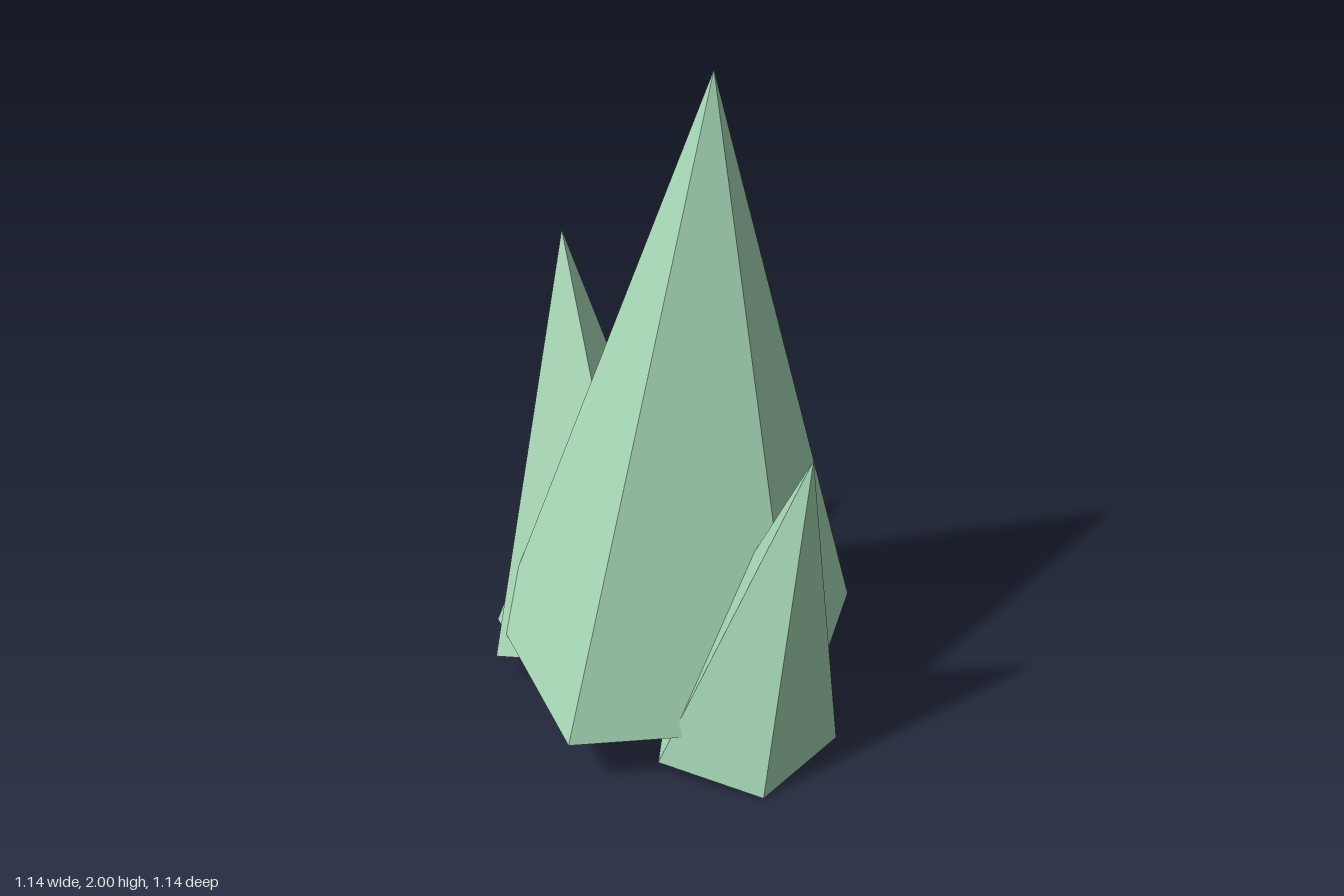
import * as THREE from 'three';

// A closed faceted spike: apex point plus base corners, counter-clockwise from above
function spike(name, material, apex, base) {
  const pos = [];
  base.forEach((corner, i) => {
    const next = base[(i + 1) % base.length];
    pos.push(...apex, ...corner, ...next);
    if (i > 0 && i < base.length - 1) pos.push(...base[0], ...next, ...corner);
  });
  const geometry = new THREE.BufferGeometry();
  geometry.setAttribute('position', new THREE.Float32BufferAttribute(pos, 3));
  geometry.computeVertexNormals();
  const mesh = new THREE.Mesh(geometry, material);
  mesh.name = name;
  return mesh;
}

export function createModel() {
  const model = new THREE.Group();
  model.name = 'crystalCluster';
  const crystal = new THREE.MeshStandardMaterial({ color: 0xa8dab8 });
  crystal.name = 'paleGreenCrystal';
  crystal.flatShading = true;

  // Tall five-sided centre crystal
  model.add(spike('mainCrystal', crystal, [0.1, 2, -0.08], [
    [0.1, 0.157, 0.57], [0.555, 0.137, 0.08], [0.27, 0.137, -0.57],
    [-0.35, 0.158, -0.465], [-0.457, 0.17, 0.24],
  ]));

  // Medium four-sided crystal, leaning out on the -x side
  model.add(spike('rightCrystal', crystal, [-0.495, 1.325, -0.14], [
    [-0.57, 0.05, -0.18], [-0.4, 0.1, 0.315],
    [0.03, 0.145, 0.12], [-0.14, 0.097, -0.375],
  ]));

  // Small five-sided crystal, leaning out on the +x side
  model.add(spike('leftCrystal', crystal, [0.57, 1.045, 0.08], [
    [0.56, 0, 0.26], [0.56, 0, -0.1], [0.265, 0.054, -0.21],
    [0.08, 0.085, 0.08], [0.265, 0.054, 0.37],
  ]));

  return model;
}
